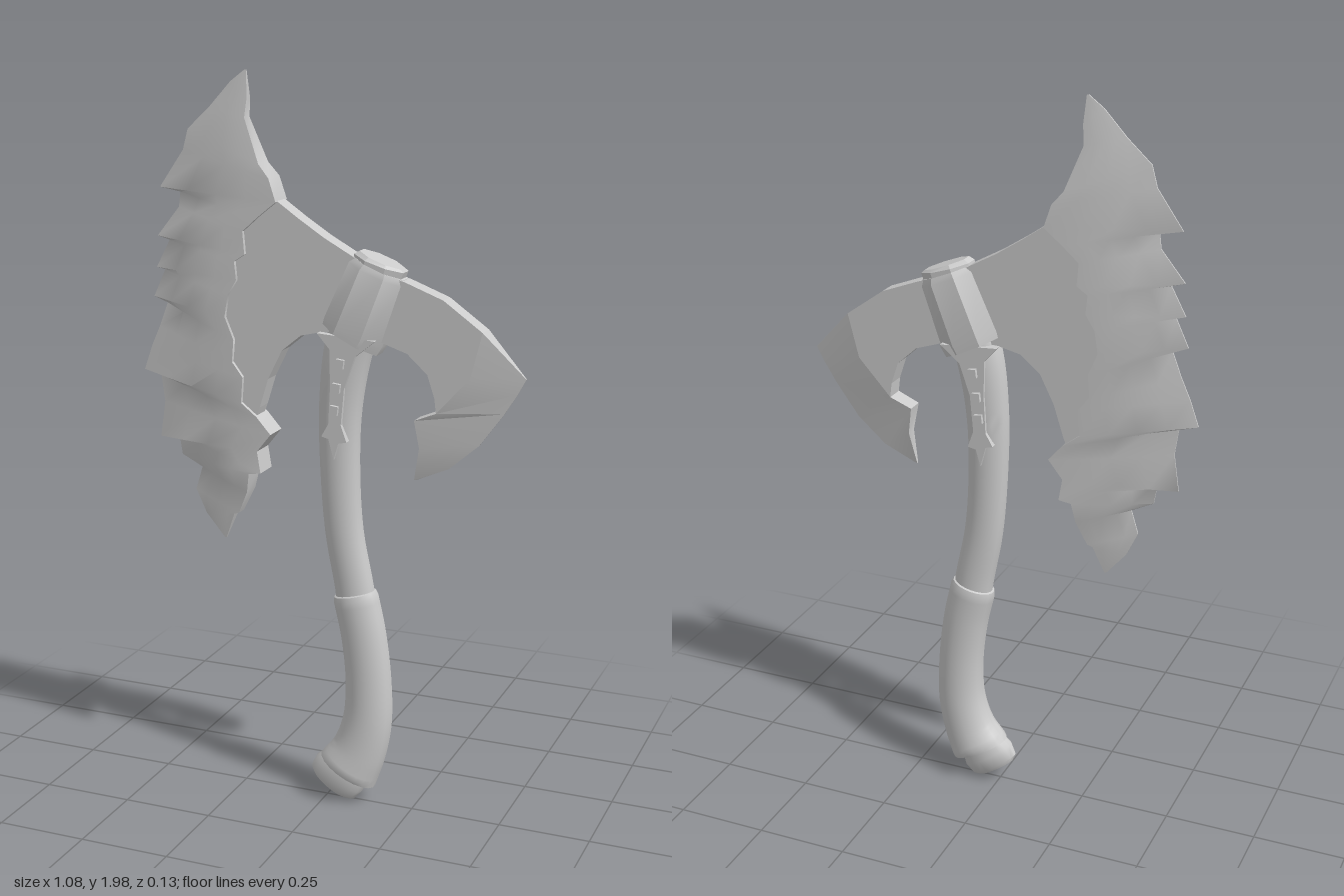
import * as THREE from 'three';
import { toCreasedNormals } from 'three/addons/utils/BufferGeometryUtils.js';

const material = new THREE.MeshStandardMaterial({ color: 0xcccccc });

function addMesh(group, name, geometry) {
  const mesh = new THREE.Mesh(geometry, material);
  mesh.name = name;
  group.add(mesh);
  return mesh;
}

// Skin a stack of closed loops, listed bottom to top, and cap both ends.
function loft(loops, crease) {
  const pos = [];
  const tri = (...pts) => pts.forEach((p) => pos.push(p.x, p.y, p.z));
  const n = loops[0].length;
  const middle = (loop) => loop.reduce((s, p) => s.add(p), new THREE.Vector3()).divideScalar(n);
  for (let i = 0; i < loops.length - 1; i++) {
    const a = loops[i], b = loops[i + 1];
    for (let j = 0; j < n; j++) {
      const k = (j + 1) % n;
      tri(a[j], b[j], a[k]);
      tri(b[j], b[k], a[k]);
    }
  }
  const first = loops[0], last = loops[loops.length - 1];
  const c0 = middle(first), c1 = middle(last);
  for (let j = 0; j < n; j++) {
    const k = (j + 1) % n;
    tri(c0, first[j], first[k]);
    tri(c1, last[k], last[j]);
  }
  const g = new THREE.BufferGeometry();
  g.setAttribute('position', new THREE.Float32BufferAttribute(pos, 3));
  return toCreasedNormals(g, crease);
}

// Oval section along a path of [x, y, half width, half depth].
function sweep(stations, sides, crease = 0.7) {
  return loft(stations.map(([x, y, rx, rz], i) => {
    const p = stations[Math.max(0, i - 1)], q = stations[Math.min(stations.length - 1, i + 1)];
    const t = new THREE.Vector2(q[0] - p[0], q[1] - p[1]).normalize();
    return Array.from({ length: sides }, (_, j) => {
      const a = ((j + 0.5) / sides) * Math.PI * 2;
      const w = Math.cos(a) * rx;
      return new THREE.Vector3(x + t.y * w, y - t.x * w, Math.sin(a) * rz);
    });
  }), crease);
}

// Round off a sparse path of [x, y, half width].
function smoothPath(points, depthRatio, count) {
  const curve = new THREE.CatmullRomCurve3(points.map((p) => new THREE.Vector3(...p)));
  return curve.getPoints(count).map((p) => [p.x, p.y, p.z, p.z * depthRatio]);
}

// Blade from rows [left x, left y, right x, right y]; half thickness from thickness(row, t).
function blade(rows, steps, thickness, crease) {
  return loft(rows.map((row) => {
    const [xl, yl, xr, yr] = row;
    const side = (sign) => Array.from({ length: steps + 1 }, (_, i) => {
      const t = i / steps;
      return new THREE.Vector3(xl + (xr - xl) * t, yl + (yr - yl) * t, sign * thickness(row, t));
    });
    return [...side(1).reverse(), ...side(-1)];
  }), crease);
}

function plate(points, z0, z1) {
  const shape = new THREE.Shape(points.map((p) => new THREE.Vector2(...p)));
  const g = new THREE.ExtrudeGeometry(shape, { depth: z1 - z0, bevelEnabled: false });
  return g.translate(0, 0, z0);
}

export function createModel() {
  const axe = new THREE.Group();
  axe.name = 'battleAxe';

  // Curved haft, thicker grip and tilted pommel
  addMesh(axe, 'haft', sweep(smoothPath([
    [0.09, 0.55, 0.056], [0.078, 0.64, 0.055], [0.048, 0.8, 0.054], [0.035, 1, 0.056],
    [0.038, 1.15, 0.06], [0.06, 1.3, 0.066], [0.1, 1.42, 0.066]], 0.72, 30), 20));
  const grip = smoothPath([
    [0.062, 0.105, 0.088], [0.095, 0.17, 0.076], [0.118, 0.26, 0.069],
    [0.12, 0.38, 0.065], [0.105, 0.51, 0.064], [0.083, 0.61, 0.064]], 0.76, 28);
  grip[0][3] = 0.06;
  grip.push([0.08, 0.623, 0.06, 0.045], [0.079, 0.627, 0.05, 0.036]);
  addMesh(axe, 'grip', sweep(grip, 20));
  addMesh(axe, 'pommel', sweep([
    [0.012, 0.051, 0.062, 0.03], [0.018, 0.06, 0.076, 0.038],
    [0.037, 0.088, 0.081, 0.048], [0.053, 0.112, 0.072, 0.045]], 20));

  // Eight-sided socket and its cap
  const oct = 1 / Math.cos(Math.PI / 8);
  const octStations = (list) => list.map(([x, y, a, b]) => [x, y, a * oct, b * oct]);
  addMesh(axe, 'socket', sweep(octStations([
    [0.068, 1.325, 0.086, 0.054], [0.078, 1.345, 0.089, 0.055],
    [0.14, 1.5, 0.082, 0.053], [0.146, 1.515, 0.074, 0.047]]), 8, 0.4));
  addMesh(axe, 'socketCap', sweep(octStations([
    [0.14, 1.5, 0.068, 0.047], [0.148, 1.527, 0.07, 0.047], [0.151, 1.535, 0.06, 0.039]]), 8, 0.4));

  // Plates joining both blades to the socket
  addMesh(axe, 'cheekPlate', plate([
    [0.1, 1.53], [0, 1.585], [-0.07, 1.63], [-0.135, 1.675], [-0.24, 1.62], [-0.3, 1.4],
    [-0.26, 1.15], [-0.2, 1.08], [-0.185, 1.12], [-0.16, 1.2], [-0.12, 1.28],
    [-0.065, 1.325], [0, 1.34], [0.08, 1.34]], -0.026, 0.026));
  addMesh(axe, 'rearBladePlate', plate([
    [0.12, 1.51], [0.22, 1.485], [0.325, 1.445], [0.43, 1.37], [0.4, 1.25], [0.31, 1.15],
    [0.305, 1.19], [0.285, 1.25], [0.23, 1.3], [0.155, 1.325], [0.08, 1.33]], -0.026, 0.026));

  // Bevelled cutting edge of the hooked rear blade; the fifth number is half thickness
  addMesh(axe, 'rearBladeEdge', blade([
    [0.245, 0.96, 0.25, 0.96, 0.003], [0.262, 1.05, 0.34, 1, 0.016],
    [0.25, 1.125, 0.42, 1.07, 0.024], [0.31, 1.15, 0.485, 1.16, 0.026],
    [0.4, 1.25, 0.518, 1.213, 0.026], [0.43, 1.37, 0.54, 1.255, 0.026]],
  1, (row, t) => row[4] * (1 - t) + 0.002 * t, 0.35));

  // Jagged main blade: chipped edge on the left, cracked edge on the right
  const jagged = [
    [-0.305, 0.735, -0.3, 0.735], [-0.36, 0.8, -0.27, 0.81], [-0.39, 0.865, -0.255, 0.815],
    [-0.37, 0.93, -0.225, 0.88], [-0.43, 0.96, -0.215, 0.935], [-0.44, 1.025, -0.18, 0.94],
    [-0.495, 1.005, -0.19, 1], [-0.48, 1.105, -0.15, 1.05], [-0.49, 1.18, -0.19, 1.095],
    [-0.54, 1.19, -0.235, 1.13], [-0.515, 1.26, -0.23, 1.2], [-0.49, 1.315, -0.26, 1.24],
    [-0.465, 1.38, -0.255, 1.3], [-0.505, 1.395, -0.28, 1.36], [-0.47, 1.47, -0.27, 1.42],
    [-0.495, 1.475, -0.245, 1.46], [-0.455, 1.55, -0.25, 1.51], [-0.49, 1.56, -0.22, 1.53],
    [-0.425, 1.64, -0.225, 1.59], [-0.42, 1.68, -0.18, 1.63], [-0.48, 1.69, -0.13, 1.67],
    [-0.41, 1.79, -0.15, 1.73], [-0.395, 1.845, -0.18, 1.765], [-0.33, 1.905, -0.225, 1.88],
    [-0.27, 1.97, -0.22, 1.93], [-0.23, 2, -0.225, 2]];
  addMesh(axe, 'mainBlade', blade(jagged, 4, ([, , , y], t) => {
    const taper = Math.min(1, (2 - y) / 0.28, (y - 0.735) / 0.2);
    return 0.002 + 0.035 * taper * Math.sin(t * Math.PI / 2);
  }, 0.7));

  // Pointed straps with three studs on both faces of the haft
  const strap = [
    [-0.01, 1.34], [0.025, 1.3], [0.027, 1.2], [0.022, 1.1], [0.002, 1.065], [0.022, 1.06],
    [0.037, 1.005], [0.05, 1.05], [0.073, 1.055], [0.057, 1.1], [0.066, 1.2], [0.095, 1.285], [0.15, 1.33]];
  for (const [side, s] of [['front', 1], ['back', -1]]) {
    addMesh(axe, side + 'Strap', s > 0 ? plate(strap, 0.028, 0.05) : plate(strap, -0.05, -0.028));
    [[0.056, 1.265], [0.046, 1.2], [0.04, 1.14]].forEach(([x, y], i) => {
      const stud = addMesh(axe, side + 'Stud' + (i + 1), new THREE.BoxGeometry(0.022, 0.024, 0.02));
      stud.position.set(x, y, s * 0.05);
      stud.rotation.z = -0.12;
    });
  }
  return axe;
}
